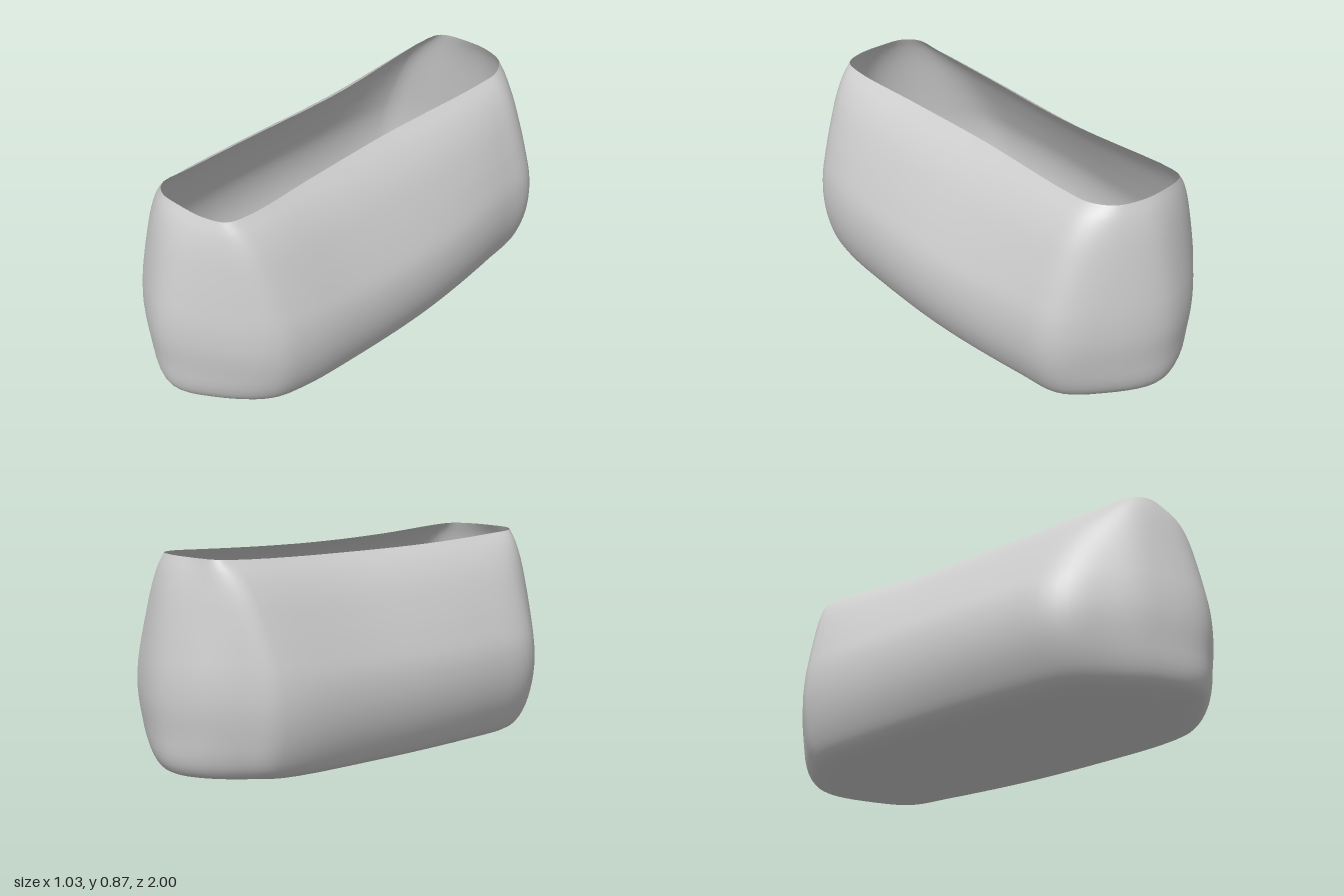
import * as THREE from 'three';

// Matching outlines [x, z] around the sack: the mouth and the widest part of the belly
const MOUTH = [[-.16, -.8], [-.13, -.86], [0, -.885], [.1, -.88], [.2, -.84], [.25, -.75], [.25, -.65], [.19, -.1], [.18, .35],
  [.185, .72], [.16, .81], [.08, .845], [-.05, .85], [-.16, .835], [-.215, .78], [-.215, .65], [-.205, .3], [-.17, -.2]];
const BELLY = [[-.38, -.73], [-.28, -.84], [-.12, -.96], [.06, -1], [.3, -.9], [.46, -.77], [.49, -.56], [.51, -.1], [.475, .35],
  [.43, .64], [.37, .78], [.16, .93], [-.05, 1], [-.25, .9], [-.38, .77], [-.5, .6], [-.515, .35], [-.475, -.2]];

// Heights: [y, blend from belly to mouth, x scale, z scale]
const LEVELS = [[0, 0, .7, .87], [.025, 0, .81, .95], [.08, 0, .89, .98], [.18, 0, .97, .99], [.29, 0, 1, 1],
  [.4, .04, 1, 1], [.5, .17, 1, 1], [.6, .33, 1, 1], [.71, .54, 1, 1], [.79, .77, 1, 1], [.84, 1, 1, 1]];

const COLUMNS = 96, ROWS = 30;

const ring = (pts) => new THREE.CatmullRomCurve3(pts.map(([x, z]) => new THREE.Vector3(x, 0, z)), true, 'centripetal');

function meshFrom(name, positions, indices, material) {
  const geometry = new THREE.BufferGeometry();
  geometry.setAttribute('position', new THREE.Float32BufferAttribute(positions, 3));
  geometry.setIndex(indices);
  geometry.computeVertexNormals();
  const mesh = new THREE.Mesh(geometry, material);
  mesh.name = name;
  return mesh;
}

export function createModel() {
  const group = new THREE.Group();
  group.name = 'openSack';
  const cloth = new THREE.MeshStandardMaterial({ color: 0xcccccc, side: THREE.DoubleSide });
  const mouth = ring(MOUTH), belly = ring(BELLY);

  // Wall: one smooth upright curve per column, joined into a closed skin
  const columns = [];
  for (let i = 0; i < COLUMNS; i++) {
    const top = mouth.getPoint(i / COLUMNS), wide = belly.getPoint(i / COLUMNS);
    const lift = 1 + .03 * (top.z / .85) ** 2; // the mouth rises toward both ends
    const curve = new THREE.CatmullRomCurve3(LEVELS.map(([y, t, sx, sz]) => {
      const p = wide.clone().lerp(top, t);
      return new THREE.Vector3(p.x * sx, y * lift, p.z * sz);
    }), false, 'centripetal');
    columns.push(curve.getPoints(ROWS));
  }
  const wall = [], wallFaces = [];
  for (let r = 0; r <= ROWS; r++) {
    for (let i = 0; i < COLUMNS; i++) {
      wall.push(...columns[i][r].toArray());
      if (r === ROWS) continue;
      const a = r * COLUMNS + i, b = r * COLUMNS + (i + 1) % COLUMNS;
      wallFaces.push(a, a + COLUMNS, b, b, a + COLUMNS, b + COLUMNS);
    }
  }
  group.add(meshFrom('wall', wall, wallFaces, cloth));

  // Flat floor closing the lowest ring
  const floor = [0, 0, 0], floorFaces = [];
  for (let i = 0; i < COLUMNS; i++) {
    floor.push(...columns[i][0].toArray());
    floorFaces.push(0, 1 + i, 1 + (i + 1) % COLUMNS);
  }
  group.add(meshFrom('floor', floor, floorFaces, cloth));
  return group;
}
